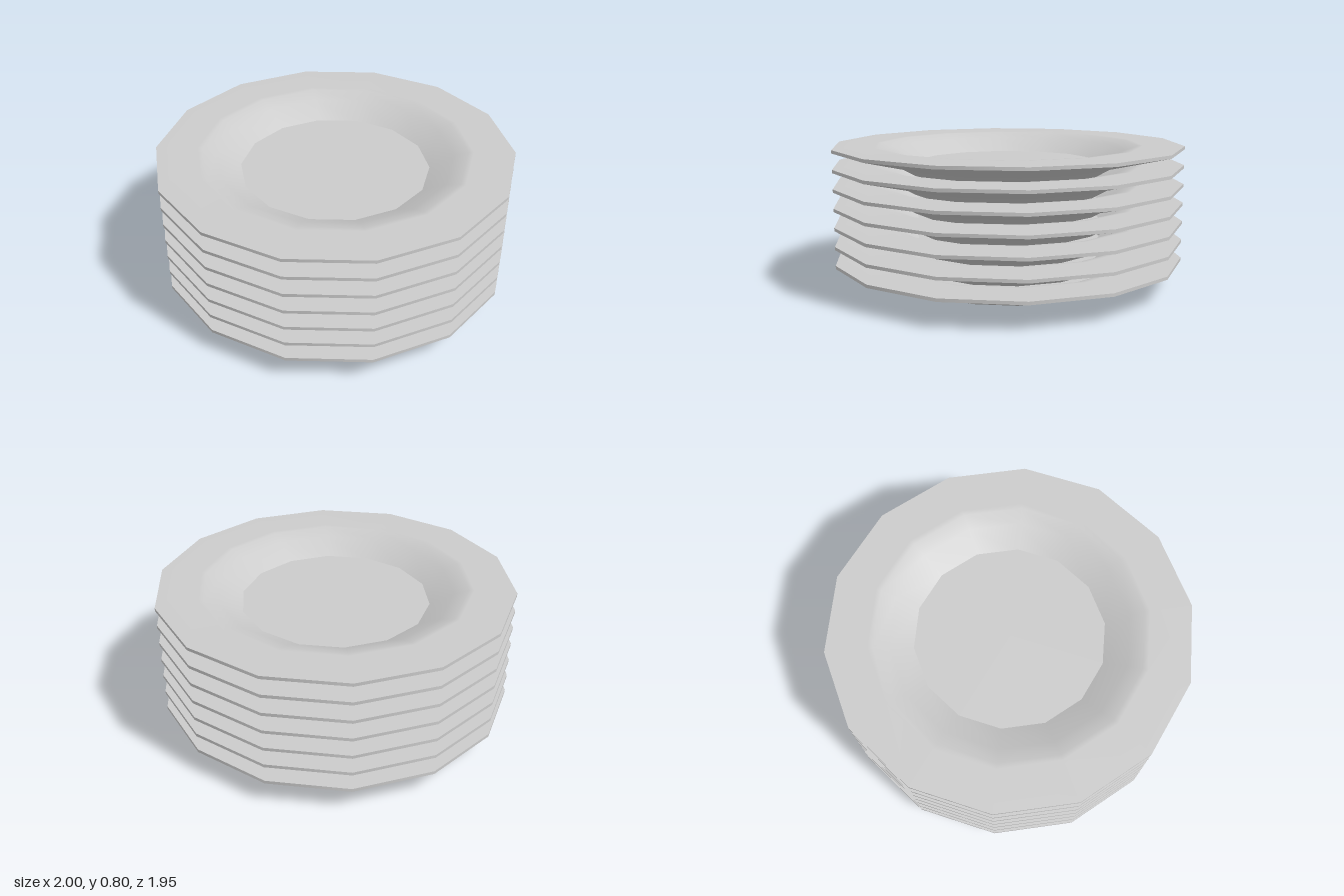
import * as THREE from 'three';
import { mergeGeometries } from 'three/addons/utils/BufferGeometryUtils.js';

const SIDES = 14;
const PLATES = 7;
const SPACING = 0.1067;

// Profile sections [radius, height]; each is smooth in itself, with sharp edges between them
const SECTIONS = [
  [[0, 0], [0.545, 0]],                         // underside of the base
  [[0.545, 0], [0.65, 0.058], [1, 0.142]],      // outer wall and rim underside
  [[1, 0.142], [1, 0.16]],                      // rim edge
  [[1, 0.16], [0.77, 0.16], [0.74, 0.158], [0.66, 0.13], [0.53, 0.057]], // flat rim rolling into the well
  [[0.53, 0.057], [0, 0.057]],                  // well floor
];

function plateGeometry() {
  return mergeGeometries(SECTIONS.map((section) =>
    new THREE.LatheGeometry(section.map(([r, y]) => new THREE.Vector2(r, y)), SIDES, Math.PI / 2)));
}

export function createModel() {
  const group = new THREE.Group();
  group.name = 'plateStack';
  const material = new THREE.MeshStandardMaterial({ color: 0xcccccc });
  const geometry = plateGeometry();

  // Identical plates stacked upwards
  for (let i = 0; i < PLATES; i++) {
    const plate = new THREE.Mesh(geometry, material);
    plate.name = `plate${i + 1}`;
    plate.position.y = i * SPACING;
    group.add(plate);
  }
  return group;
}
